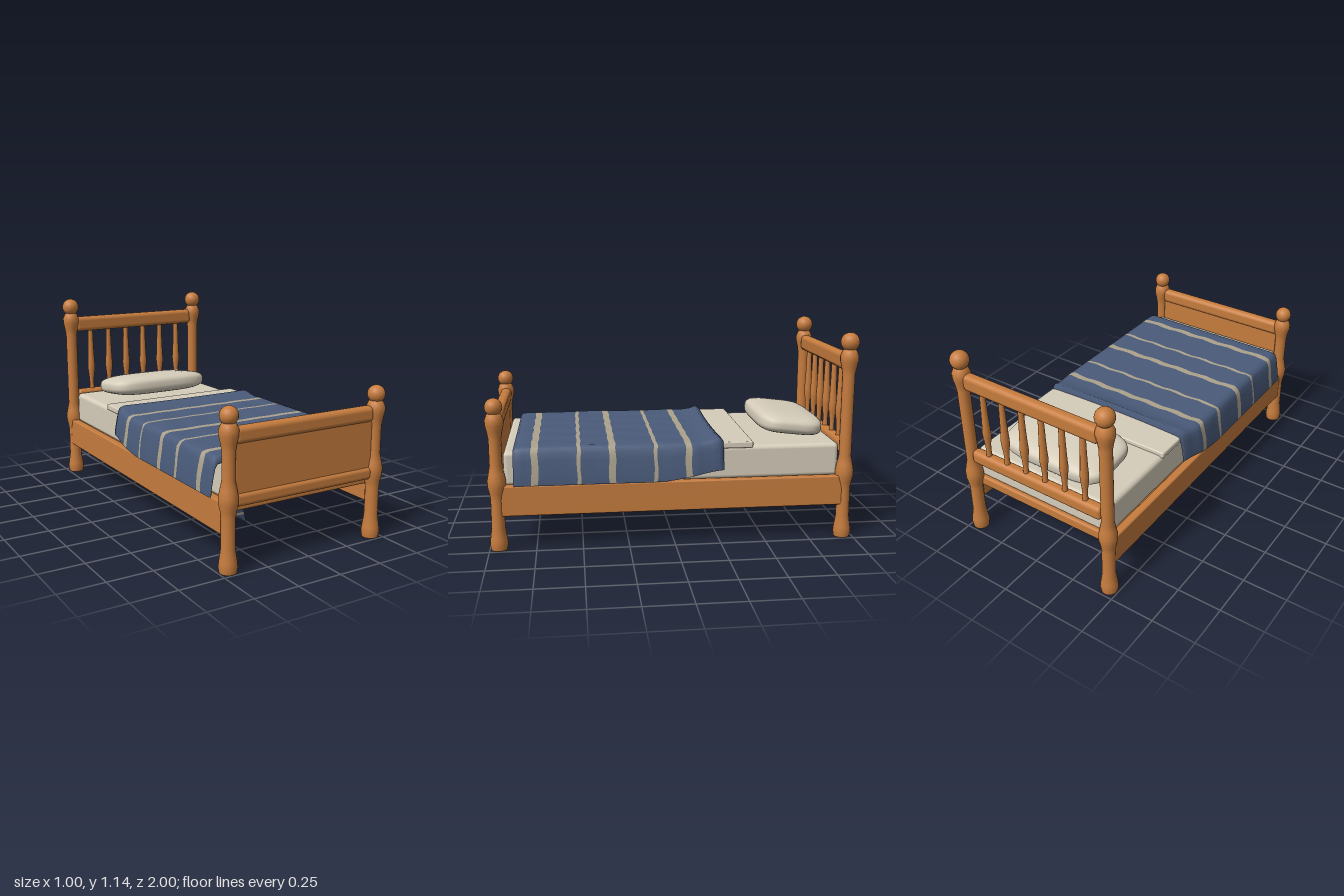
import * as THREE from 'three';
import { mergeVertices } from 'three/addons/utils/BufferGeometryUtils.js';
import { RoundedBoxGeometry } from 'three/addons/geometries/RoundedBoxGeometry.js';

const material = (name, color, side = THREE.FrontSide) => {
  const m = new THREE.MeshStandardMaterial({ color, side });
  m.name = name;
  return m;
};

export function createModel() {
  const wood = material('wood', 0xc67c3e);
  const linen = material('linen', 0xd6cdba);
  const blue = material('blanketBlue', 0x4a5b7a, THREE.DoubleSide);
  const tan = material('blanketStripe', 0xaca28c, THREE.DoubleSide);
  const bed = new THREE.Group();
  bed.name = 'bed';

  const add = (name, geometry, mat, x = 0, y = 0, z = 0) => {
    const mesh = new THREE.Mesh(geometry, mat);
    mesh.name = name;
    mesh.position.set(x, y, z);
    bed.add(mesh);
    return mesh;
  };
  // Rounded block given by its ranges on each axis
  const block = (name, mat, [x0, x1], [y0, y1], [z0, z1], radius) =>
    add(name, new RoundedBoxGeometry(x1 - x0, y1 - y0, z1 - z0, 3, radius), mat,
      (x0 + x1) / 2, (y0 + y1) / 2, (z0 + z1) / 2);
  const lathe = (points, sides) =>
    new THREE.LatheGeometry(points.map(([r, y]) => new THREE.Vector2(r, y)), sides);

  // Turned corner posts with ball finials; top = height of the upper bulge
  const post = (name, x, z, top, ballY, ballR) => {
    add(name, lathe([
      [0, 0], [0.044, 0], [0.044, 0.001], [0.049, 0.03], [0.046, 0.06], [0.037, 0.12], [0.036, 0.28],
      [0.041, 0.315], [0.049, 0.35], [0.05, 0.385], [0.043, 0.42], [0.034, 0.465],
      [0.034, top - 0.09], [0.041, top - 0.05], [0.049, top - 0.015], [0.05, top + 0.012],
      [0.041, top + 0.035], [0.028, top + 0.055], [0, top + 0.058],
    ], 16), wood, x, 0, z);
    add(name + 'Ball', new THREE.SphereGeometry(ballR, 20, 14), wood, x, ballY, z);
  };
  for (const [side, s] of [['left', 1], ['right', -1]]) {
    post(side + 'HeadPost', s * 0.45, -0.945, 1.005, 1.092, 0.051);
    post(side + 'FootPost', s * 0.45, 0.95, 0.7, 0.78, 0.047);
    block(side + 'SideRail', wood, s > 0 ? [0.435, 0.48] : [-0.48, -0.435], [0.19, 0.356], [-0.93, 0.93], 0.008);
  }

  // Headboard rails and turned spindles
  block('headTopRail', wood, [-0.425, 0.425], [0.933, 1.026], [-0.978, -0.916], 0.025);
  block('headLowerRail', wood, [-0.425, 0.425], [0.47, 0.55], [-0.978, -0.916], 0.025);
  const spindle = lathe([
    [0.016, 0.54], [0.014, 0.58], [0.016, 0.62], [0.022, 0.67], [0.024, 0.7],
    [0.021, 0.74], [0.018, 0.82], [0.015, 0.94],
  ], 12);
  for (let i = 0; i < 6; i++) add('spindle', spindle, wood, (i - 2.5) * 0.127, 0, -0.947);

  // Footboard
  block('footTopRail', wood, [-0.425, 0.425], [0.638, 0.722], [0.915, 0.978], 0.025);
  block('footLowerRail', wood, [-0.425, 0.425], [0.328, 0.396], [0.915, 0.978], 0.022);
  block('footPanel', wood, [-0.42, 0.42], [0.38, 0.65], [0.93, 0.965], 0.006);

  // Base board, mattress, folded sheet
  block('baseBoard', wood, [-0.44, 0.44], [0.292, 0.352], [-0.93, 0.93], 0.012);
  block('mattress', linen, [-0.437, 0.437], [0.345, 0.532], [-0.914, 0.914], 0.025);
  block('foldedSheet', linen, [-0.444, 0.444], [0.52, 0.556], [-0.432, -0.2], 0.008);

  // Pillow: a sphere squared off into a cushion
  const ball = new THREE.SphereGeometry(1, 48, 28);
  ball.deleteAttribute('uv');
  ball.deleteAttribute('normal');
  const pillow = mergeVertices(ball, 1e-4);
  const pp = pillow.attributes.position;
  const v = new THREE.Vector3();
  const norm = (a, b, n) => Math.pow(Math.abs(a) ** n + Math.abs(b) ** n, 1 / n);
  for (let i = 0; i < pp.count; i++) {
    v.fromBufferAttribute(pp, i);
    const flat = norm(v.x, v.z, 4.5);
    v.divideScalar(norm(flat, v.y, 3.2));
    pp.setXYZ(i, v.x * 0.325, v.y * 0.063, v.z * 0.187);
  }
  pillow.computeVertexNormals();
  add('pillow', pillow, linen, 0, 0.598, -0.695).rotation.x = -0.12;

  // Blanket: rows along z as [z, top height, inset, stripe starts here]
  const rows = [
    [-0.25, 0.535, 0.97, 0], [-0.268, 0.568, 0.99, 0], [-0.24, 0.583, 1, 0],
    [-0.205, 0.57, 1, 0], [-0.16, 0.562, 1, 0],
  ];
  const stripes = [[-0.073, 0.034], [0.105, 0.02], [0.337, 0.036], [0.515, 0.02], [0.747, 0.037]];
  for (const [c, w] of stripes) {
    const last = rows[rows.length - 1][0];
    const start = c - w / 2;
    for (const t of [0.33, 0.67]) rows.push([last + (start - last) * t, 0.56, 1, 0]);
    rows.push([start, 0.56, 1, 1], [c + w / 2, 0.56, 1, 0]);
  }
  rows.push([0.81, 0.56, 1, 0], [0.845, 0.556, 1, 0], [0.86, 0.545, 0.995, 0], [0.858, 0.525, 0.98, 0]);
  // Half cross-section as [fraction of half width, fraction of drop]
  const half = [[1, 0], [0.998, 0.15], [0.985, 0.4], [0.97, 0.65], [0.955, 0.84], [0.93, 0.96], [0.88, 1]];
  for (let k = 1; k <= 8; k++) half.push([0.88 * (1 - k / 9), 1]);
  const section = [
    ...half.map(([x, t]) => [-x, t]), [0, 1], ...half.slice().reverse(),
  ];
  const n = section.length;
  const pos = [], index = [];
  const blanket = new THREE.BufferGeometry();
  rows.forEach(([z, top, inset, striped], i) => {
    const width = THREE.MathUtils.lerp(0.476, 0.499, THREE.MathUtils.smoothstep(z, -0.26, -0.08)) * inset;
    const hem = THREE.MathUtils.lerp(0.408, 0.36, THREE.MathUtils.smoothstep(z, -0.28, 0.1));
    section.forEach(([fx, t], j) => {
      const inner = i > 4 && i < rows.length - 4;
      const ripple = inner ? 0.003 * Math.sin(j * 1.7 + i * 0.6) : 0;
      const fold = t < 0.9 ? 0.004 * Math.sin(i * 1.9) * t : 0;
      const arch = i < 3 ? 0.015 * (1 - fx * fx) : 0;
      pos.push(fx * (width - fold), hem + (top - hem) * t + (t === 1 ? ripple * 0.6 : 0), z + ripple + arch);
    });
    if (i === rows.length - 1) return;
    blanket.addGroup(index.length, (n - 1) * 6, striped);
    for (let j = 0; j < n - 1; j++) {
      const a = i * n + j, b = a + n;
      index.push(a, b, a + 1, b, b + 1, a + 1);
    }
  });
  blanket.setAttribute('position', new THREE.Float32BufferAttribute(pos, 3));
  blanket.setIndex(index);
  blanket.computeVertexNormals();
  add('blanket', blanket, [blue, tan]);

  // Loose blanket corner poking out below the base board
  const facets = (name, mat, points) => {
    const g = new THREE.BufferGeometry();
    g.setAttribute('position', new THREE.Float32BufferAttribute(points.flat(), 3));
    g.computeVertexNormals();
    add(name, g, mat);
  };
  const a = [-0.41, 0.3, 0.82], b = [-0.29, 0.3, 0.82], tip = [-0.245, 0.163, 0.8], c = [-0.35, 0.3, 0.3];
  const mix = (p, q, t) => p.map((value, i) => value + (q[i] - value) * t);
  const [a1, b1, a2, b2] = [mix(a, tip, 0.52), mix(b, tip, 0.52), mix(a, tip, 0.62), mix(b, tip, 0.62)];
  facets('blanketCorner', blue, [a, a1, b, a1, b1, b, a2, tip, b2, a, c, tip, b, tip, c]);
  facets('blanketCornerStripe', tan, [a1, a2, b1, a2, b2, b1]);

  return bed;
}
